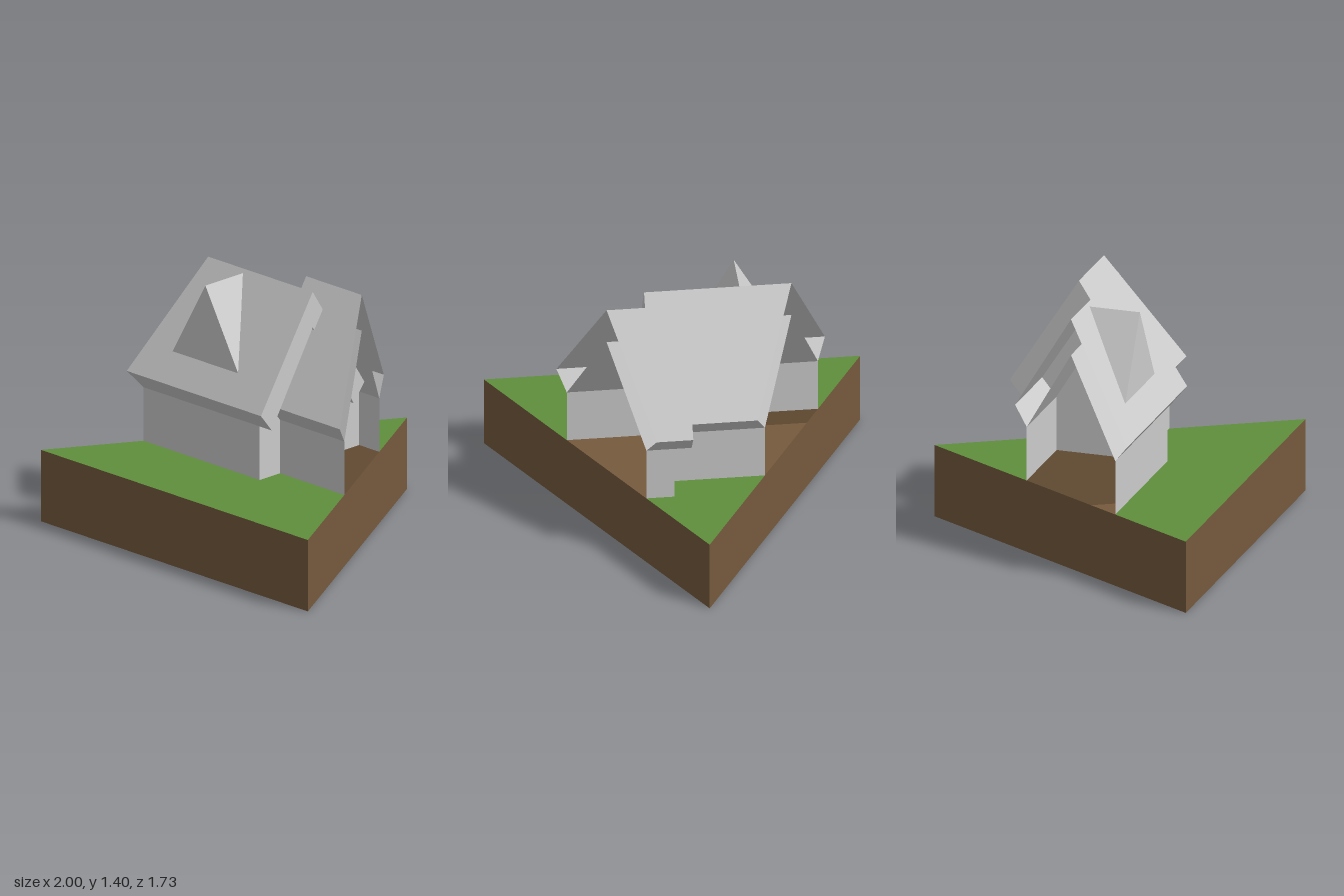
import * as THREE from 'three';

const H = 0.866; // half depth of the triangular plot
const GROUND = 0.4, WALL_TOP = 0.7;

const material = (color) =>
  new THREE.MeshStandardMaterial({ color, side: THREE.DoubleSide, flatShading: true });

export function createModel() {
  const model = new THREE.Group();
  const grey = material(0xcccccc), soil = material(0x765a3d), grass = material(0x5f8f3d);

  const add = (parent, name, geometry, mat) => {
    const mesh = new THREE.Mesh(geometry, mat);
    mesh.name = name;
    parent.add(mesh);
    return mesh;
  };

  const flatShape = (points) =>
    new THREE.ShapeGeometry(new THREE.Shape(points.map(([a, b]) => new THREE.Vector2(a, b))));

  // Horizontal polygon from [x, z] points
  const plan = (points, y) => flatShape(points).rotateX(Math.PI / 2).translate(0, y, 0);

  // Upright polygon across the house from [z, y] points
  const section = (points, x) => flatShape(points).rotateY(-Math.PI / 2).translate(x, 0, 0);

  const triangles = (corners) => {
    const geometry = new THREE.BufferGeometry();
    geometry.setAttribute('position', new THREE.Float32BufferAttribute(corners.flat(), 3));
    geometry.computeVertexNormals();
    return geometry;
  };

  // Where the slanted edge of the plot cuts the house; side is -1 or 1
  const cutX = (z, side) => side * (z + H) / (2 * H);

  // Sheets running from x0 to the slanted cut, along a [z, y] profile
  const sheets = (profile, x0, side) => {
    const corners = [];
    for (let i = 0; i + 1 < profile.length; i++) {
      const [[za, ya], [zb, yb]] = [profile[i], profile[i + 1]];
      const a = [x0, ya, za], b = [x0, yb, zb];
      const c = [cutX(zb, side), yb, zb], d = [cutX(za, side), ya, za];
      if (side > 0) corners.push(a, c, b, a, d, c);
      else corners.push(a, b, c, a, c, d);
    }
    return triangles(corners);
  };

  // Hollow triangular plot
  const base = new THREE.Group();
  base.name = 'base';
  model.add(base);
  add(base, 'soilSides',
    new THREE.CylinderGeometry(H * 4 / 3, H * 4 / 3, GROUND, 3, 1, true)
      .rotateY(Math.PI).translate(0, GROUND / 2, H / 3), soil);
  add(base, 'soilBottom', plan([[-1, H], [0, -H], [1, H]], 0), soil);

  // Lawn in front of and behind the house
  const xf = 0.15, xb = 0.13, near = 0.23, far = 0.38;
  add(base, 'frontLawn', plan([[-1, H], [cutX(far, -1), far], [xf, far], [xf, near],
    [cutX(near, 1), near], [1, H]], GROUND), grass);
  add(base, 'backLawn', plan([[0, -H], [cutX(-near, -1), -near], [xb, -near], [xb, -far],
    [cutX(-far, 1), -far]], GROUND), grass);

  // Two staggered house halves, each a half turn of the other
  for (const side of [-1, 1]) {
    const half = new THREE.Group();
    half.name = side < 0 ? 'leftHandHalf' : 'rightHandHalf';
    model.add(half);
    const mid = -side * 0.075;
    const wallX = side < 0 ? xf : xb;
    const roofX = side < 0 ? 0.24 : 0.04;

    for (const dir of [-1, 1]) {
      const z = mid + dir * 0.305;
      add(half, dir > 0 ? 'frontWall' : 'backWall',
        sheets([[z, GROUND], [z, WALL_TOP]], wallX, side), grey);
    }
    add(half, 'gableWall', section([[mid - 0.305, GROUND], [mid + 0.305, GROUND],
      [mid + 0.305, WALL_TOP], [mid, 1.2], [mid - 0.305, WALL_TOP]], wallX), grey);

    // Thick roof, closed at its inner end and open at the slanted cut
    const roof = [[mid + 0.385, 0.8], [mid, 1.4], [mid - 0.385, 0.8],
      [mid - 0.305, WALL_TOP], [mid, 1.2], [mid + 0.305, WALL_TOP]];
    add(half, 'roof', sheets([...roof, roof[0]], roofX, side), grey);
    add(half, 'roofEnd', section(roof, roofX), grey);
  }

  // Pointed dormer with a level ridge running back into the roof
  const left = [-0.515, 0.95, 0.367], right = [-0.025, 0.95, 0.367];
  const peak = [-0.27, 1.38, 0.367], back = [-0.27, 1.38, 0.085];
  add(model, 'dormer',
    triangles([left, right, peak, right, back, peak, left, peak, back]), grey);

  return model;
}
